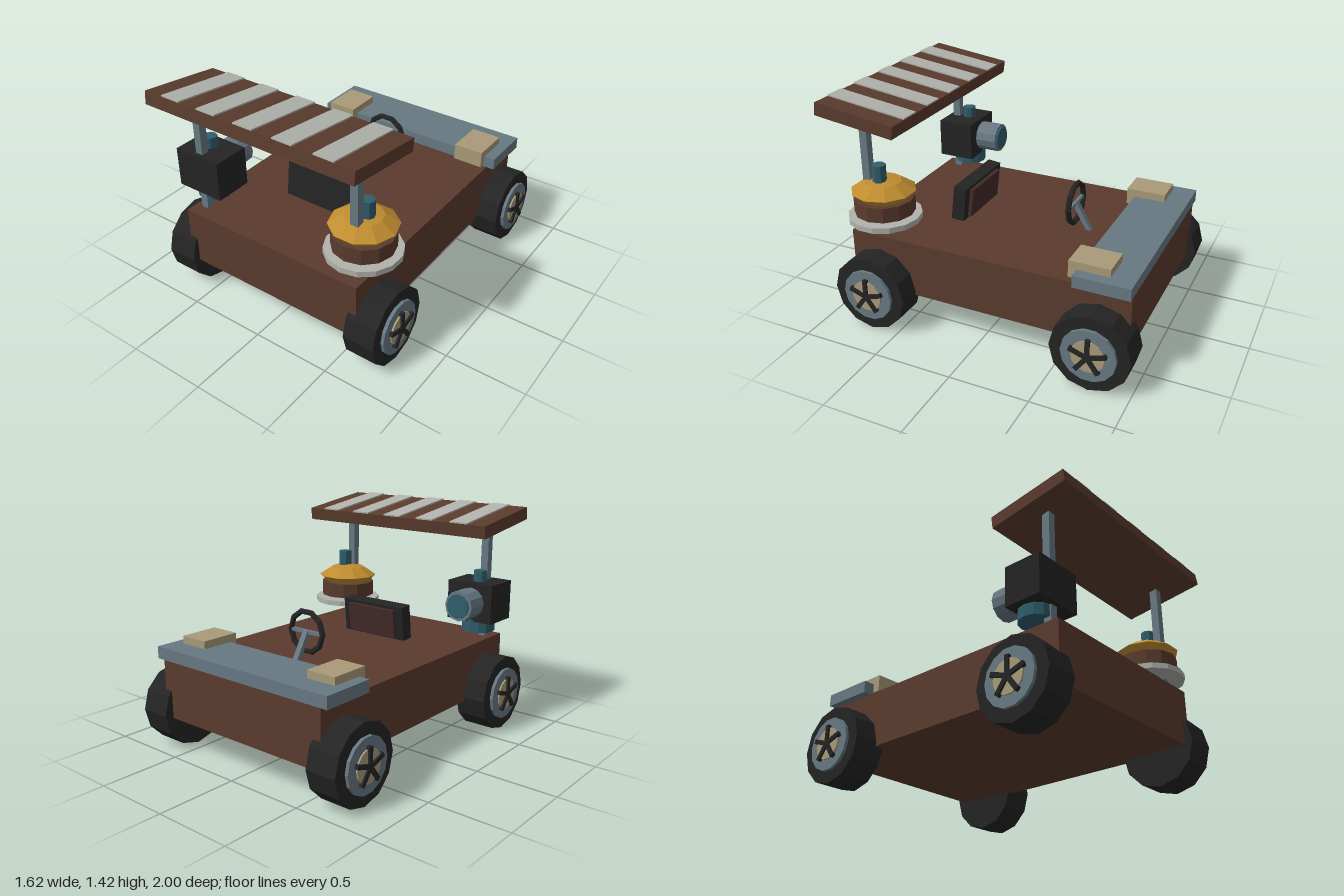
import * as THREE from 'three';

const mat = (name, color) => {
  const m = new THREE.MeshStandardMaterial({ color, flatShading: true });
  m.name = name;
  return m;
};

export function createModel() {
  const brown = mat('brown wood', 0x5a3b2d);
  const steel = mat('blue grey steel', 0x677882);
  const black = mat('black rubber', 0x242424);
  const tan = mat('tan', 0xa89a78);
  const teal = mat('teal', 0x2f5d6a);
  const gold = mat('gold', 0xc08c30);
  const pale = mat('pale grey', 0xb0b2ab);
  const maroon = mat('dark maroon', 0x432a27);

  const model = new THREE.Group();
  model.name = 'buggy';

  const add = (parent, name, geo, material, x = 0, y = 0, z = 0) => {
    const mesh = new THREE.Mesh(geo, material);
    mesh.name = name;
    mesh.position.set(x, y, z);
    parent.add(mesh);
    return mesh;
  };
  const group = (name, x, y, z) => {
    const g = new THREE.Group();
    g.name = name;
    g.position.set(x, y, z);
    model.add(g);
    return g;
  };
  const box = (w, h, d) => new THREE.BoxGeometry(w, h, d);
  const cyl = (r, h, n = 12) => new THREE.CylinderGeometry(r, r, h, n);

  // Body and rear deck
  add(model, 'body', box(1.25, 0.36, 1.81), brown, 0, 0.4, -0.035);
  add(model, 'rearDeck', box(1.35, 0.075, 0.34), steel, 0, 0.6175, -0.775);

  // Wheels: tyre, rim, hub plate and five spokes, outer side towards +x
  for (const side of [1, -1]) {
    for (const z of [0.68, -0.757]) {
      const wheel = group('wheel', side * 0.67, 0.245, z);
      if (side < 0) wheel.rotation.y = Math.PI;
      const disc = (name, r, x0, x1, n, m) => {
        add(wheel, name, cyl(r, x1 - x0, n), m, (x0 + x1) / 2).rotation.z = -Math.PI / 2;
      };
      disc('tyre', 0.242, -0.1, 0.1, 12, black);
      disc('rim', 0.166, 0.09, 0.12, 14, steel);
      disc('hubPlate', 0.1, 0.11, 0.13, 14, tan);
      for (let i = 0; i < 5; i++) {
        const spoke = group('spokePivot', 0.13, 0, 0);
        wheel.add(spoke);
        spoke.rotation.x = (i * Math.PI * 2) / 5;
        add(spoke, 'spoke', box(0.025, 0.115, 0.027), black, 0, 0.0575, 0);
      }
    }
  }

  // Posts, mounts, caps and tail boxes on both sides
  for (const s of [1, -1]) {
    add(model, 'canopyPost', box(0.05, 0.74, 0.05), steel, s * 0.555, 0.95, 0.765);
    add(model, 'mount', cyl(0.105, 0.085), teal, s * 0.565, 0.68, 0.68);
    add(model, 'cap', cyl(0.043, 0.13, 8), teal, s * 0.565, 0.965, 0.68);
    add(model, 'tailBox', box(0.195, 0.105, 0.25), tan, s * 0.508, 0.65, -0.68);
  }

  // Tilted canopy with pale stripes
  const canopy = group('canopy', 0, 1.341, 0.735);
  canopy.rotation.x = -0.13;
  add(canopy, 'roof', box(1.41, 0.08, 0.525), brown);
  for (let i = -2; i <= 2; i++) {
    add(canopy, 'roofStripe', box(0.128, 0.009, 0.522), pale, i * 0.258, 0.0445, 0);
  }

  // Layered turret on the left: plate, drum and dome
  const turret = group('turret', 0.538, 0, 0.675);
  add(turret, 'plate', cyl(0.226, 0.035, 14), pale, 0, 0.688, 0);
  add(turret, 'drum', cyl(0.186, 0.095), brown, 0, 0.768, 0);
  const domeProfile = [[0, 0.812], [0.15, 0.812], [0.2, 0.862], [0.115, 0.918], [0, 0.935]]
    .map(([r, y]) => new THREE.Vector2(r, y));
  add(turret, 'dome', new THREE.LatheGeometry(domeProfile, 10), gold).rotation.y = Math.PI / 10;

  // Box on the right with a drum lens facing backwards
  const camera = group('lampBox', -0.55, 0.835, 0.7);
  add(camera, 'housing', box(0.32, 0.25, 0.24), black);
  add(camera, 'lensBarrel', cyl(0.097, 0.15), steel, -0.01, 0, -0.19).rotation.x = Math.PI / 2;
  add(camera, 'lens', cyl(0.078, 0.03), teal, -0.01, 0, -0.262).rotation.x = Math.PI / 2;

  // Seat back and cushion
  const seat = group('seat', 0, 0.692, 0.333);
  seat.rotation.x = -0.11;
  add(seat, 'seatBack', box(0.475, 0.225, 0.085), black);
  add(seat, 'seatPad', box(0.365, 0.185, 0.03), maroon, 0, 0, -0.052);

  // Steering wheel with crossbar and column
  const steering = group('steering', 0, 0.742, -0.358);
  add(steering, 'steeringRing', new THREE.TorusGeometry(0.127, 0.018, 6, 10), black);
  add(steering, 'crossbar', box(0.24, 0.022, 0.02), steel);
  add(steering, 'column', box(0.038, 0.2, 0.03), steel, 0, -0.082, -0.048).rotation.x = 0.53;

  return model;
}
